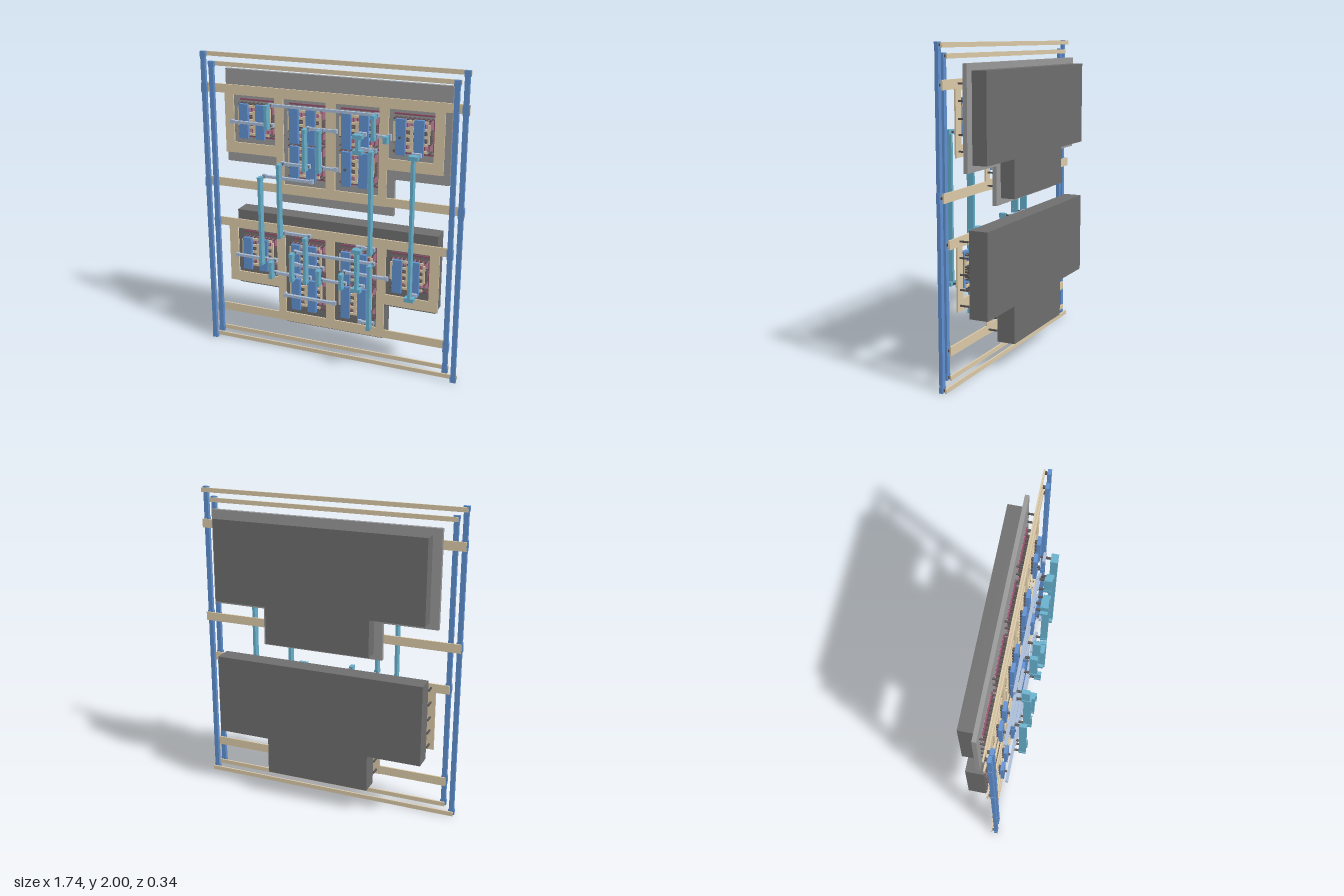
import * as THREE from 'three';
import { mergeGeometries } from 'three/addons/utils/BufferGeometryUtils.js';

const mat = (c) => new THREE.MeshStandardMaterial({ color: c });
const COLORS = {
  well: mat(0x6e6e6e), plate: mat(0x999999), diffusion: mat(0xc88aa4), poly: mat(0x93506a),
  contact: mat(0x5a5555), metal1: mat(0xdccaa8), metal2: mat(0x6090d0),
  metal3: mat(0xa9bcd8), metal4: mat(0x68b0cc),
};
// Depth range of each layer, back to front
const Z = {
  well: [-0.168, -0.05], plate: [-0.076, -0.05], diffusion: [-0.05, -0.045], poly: [-0.045, -0.037],
  contact: [-0.048, 0.009], metal1: [0.009, 0.019], via1: [0.019, 0.034], metal2: [0.034, 0.057],
  via2: [0.057, 0.073], metal3: [0.073, 0.092], via3: [0.092, 0.122], metal4: [0.122, 0.168],
};

// Box from centre and size in the layer plane
function slab(x, y, w, h, [z0, z1]) {
  return new THREE.BoxGeometry(w, h, z1 - z0).translate(x, y, (z0 + z1) / 2);
}

function layer(parent, name, material, boxes) {
  const mesh = new THREE.Mesh(mergeGeometries(boxes), material);
  mesh.name = name;
  parent.add(mesh);
}

// T-shaped outline: wide upper part, narrow lower part
function tShape(wide, narrow, top, step, bottom) {
  return new THREE.Shape([
    [-wide, top], [-wide, step], [-narrow, step], [-narrow, bottom],
    [narrow, bottom], [narrow, step], [wide, step], [wide, top],
  ].map(([x, y]) => new THREE.Vector2(x, y)));
}

function extrude(parent, name, material, shape, [z0, z1]) {
  const g = new THREE.ExtrudeGeometry(shape, { depth: z1 - z0, bevelEnabled: false });
  const mesh = new THREE.Mesh(g.translate(0, 0, z0), material);
  mesh.name = name;
  parent.add(mesh);
}

function rectHole(x0, x1, y0, y1) {
  return new THREE.Path([[x0, y0], [x1, y0], [x1, y1], [x0, y1]].map(([x, y]) => new THREE.Vector2(x, y)));
}

// One transistor cell: diffusion, gates, contacts, first and second metal
function addCell(parent, cx, cy) {
  const cell = new THREE.Group();
  cell.name = 'transistorCell';
  parent.add(cell);
  const diffusion = [], poly = [], contacts = [], m1 = [], m2 = [], vias = [];
  for (const dy of [-0.07, 0.0, 0.065]) diffusion.push(slab(cx, cy + dy, 0.24, 0.05, Z.diffusion));
  for (const s of [-1, 1]) {
    poly.push(slab(cx, cy + s * 0.12, 0.25, 0.01, Z.poly));
    m2.push(slab(cx + s * 0.057, cy, 0.059, 0.222, Z.metal2));
    m1.push(slab(cx + s * 0.107, cy + 0.02, 0.014, 0.12, Z.metal1));
    for (const dy of [-0.09, -0.045, 0, 0.045, 0.09]) vias.push(slab(cx + s * 0.057, cy + dy, 0.018, 0.014, Z.via1));
  }
  m1.push(slab(cx, cy - 0.01, 0.018, 0.14, Z.metal1));
  for (const dy of [-0.09, -0.045, 0, 0.045, 0.09]) m1.push(slab(cx, cy + dy, 0.2, 0.016, Z.metal1));
  for (let i = 0; i < 9; i++) {
    const x = cx - 0.112 + i * 0.028;
    poly.push(slab(x + 0.012, cy, 0.005, 0.2, Z.poly));
    for (const dy of [-0.1, -0.045, -0.03, -0.015, 0, 0.015, 0.03, 0.1])
      contacts.push(slab(x, cy + dy, 0.009, 0.008, Z.contact));
  }
  layer(cell, 'diffusion', COLORS.diffusion, diffusion);
  layer(cell, 'gateStrips', COLORS.poly, poly);
  layer(cell, 'contactPosts', COLORS.contact, contacts);
  layer(cell, 'cellStraps', COLORS.metal1, m1);
  layer(cell, 'cellBars', COLORS.metal2, m2);
  layer(cell, 'cellVias', COLORS.contact, vias);
}

// A block: well, T-shaped mesh plate with four windows, supply rails, six cells
function addBlock(parent, name, dy, railHalf) {
  const block = new THREE.Group();
  block.name = name;
  parent.add(block);
  const top = 1.793 + dy, step = 1.35 + dy, bottom = 1.11 + dy;
  const mesh = tShape(0.725, 0.37, top, step, bottom);
  for (const s of [-1, 1]) {
    const h = (a, b, y0) => rectHole(Math.min(s * a, s * b), Math.max(s * a, s * b), y0 + dy, 1.73 + dy);
    mesh.holes.push(h(0.377, 0.663, 1.42), h(0.031, 0.318, 1.175));
  }
  extrude(block, 'powerMesh', COLORS.metal1, mesh, Z.metal1);
  const rails = [], posts = [];
  for (const s of [-1, 1]) {
    for (const [y, x0] of [[1.765, 0.725], [1.14, 0.37]])
      rails.push(slab(s * (x0 + railHalf) / 2, y + dy, railHalf - x0, 0.056, Z.metal1));
  }
  // Posts tying the mesh to the well
  for (const x of [-0.695, -0.347, 0, 0.347, 0.695]) {
    for (const y of [1.767, 1.67, 1.57, 1.48, 1.385]) posts.push(slab(x, y + dy, 0.01, 0.01, Z.contact));
    if (Math.abs(x) < 0.5) for (const y of [1.3, 1.22, 1.14]) posts.push(slab(x, y + dy, 0.01, 0.01, Z.contact));
  }
  layer(block, 'supplyRails', COLORS.metal1, rails);
  layer(block, 'wellPosts', COLORS.contact, posts);
  for (const x of [-0.52, -0.174, 0.174, 0.52]) addCell(block, x, 1.572 + dy);
  for (const x of [-0.174, 0.174]) addCell(block, x, 1.333 + dy);
  return block;
}

export function createModel() {
  const model = new THREE.Group();
  model.name = 'layeredCircuit';

  const upper = addBlock(model, 'upperBlock', 0, 0.868);
  extrude(upper, 'wellPlate', COLORS.plate, tShape(0.75, 0.4, 1.88, 1.27, 1.03), Z.plate);
  extrude(upper, 'wellBody', COLORS.well, tShape(0.693, 0.345, 1.84, 1.31, 1.07), [Z.well[0], -0.076]);
  const lower = addBlock(model, 'lowerBlock', -0.9, 0.81);
  extrude(lower, 'wellBody', COLORS.well, tShape(0.693, 0.345, 0.935, 0.41, 0.17), Z.well);

  // Outer and inner supply rings: horizontal bars behind, pillars in front
  const bars = [], pillars = [], ringVias = [];
  const rings = [
    { x: 0.852, y0: 0.02, y1: 1.98, ties: [1.765, 1.14] },
    { x: 0.796, y0: 0.08, y1: 1.92, ties: [0.865, 0.24] },
  ];
  for (const { x, y0, y1, ties } of rings) {
    for (const y of [y0, y1]) bars.push(slab(0, y, 2 * x + 0.032, 0.028, Z.metal1));
    for (const s of [-1, 1]) {
      pillars.push(slab(s * x, 1, 0.03, y1 - y0 + 0.03, Z.metal2));
      for (const y of [y0, y1, ...ties]) {
        const h = ties.includes(y) ? 0.062 : 0.036;
        pillars.push(slab(s * x, y, 0.038, h, Z.metal2));
        ringVias.push(slab(s * x, y, 0.016, 0.014, Z.via1));
      }
    }
  }
  layer(model, 'ringBars', COLORS.metal1, bars);
  layer(model, 'ringPillars', COLORS.metal2, pillars);
  layer(model, 'ringVias', COLORS.contact, ringVias);

  // Horizontal wires: [y, x0, x1]
  const across = [
    [1.7, -0.37, 0.325], [1.572, -0.64, -0.365], [1.575, -0.118, 0.06], [1.572, 0.325, 0.405],
    [1.333, -0.293, -0.118], [1.333, -0.025, 0.065], [1.235, -0.425, -0.1], [1.48, 0.23, 0.315],
    [0.868, -0.293, -0.118], [0.842, 0.23, 0.315], [0.746, -0.215, 0.315], [0.667, -0.635, -0.36],
    [0.66, -0.215, -0.03], [0.66, 0.125, 0.405], [0.58, -0.36, -0.118], [0.58, -0.03, 0.125],
    [0.43, -0.29, 0.055], [0.332, 0.23, 0.315],
  ];
  // Vertical wires: [x, y0, y1]
  const upright = [
    [0.577, 0.575, 1.48], [0.315, 0.842, 1.48], [0.325, 1.572, 1.7], [0.315, 0.332, 0.746],
    [-0.293, 0.868, 1.333], [-0.425, 0.667, 1.235], [-0.37, 1.572, 1.7], [-0.118, 1.333, 1.575],
    [-0.118, 0.58, 0.868], [-0.025, 1.333, 1.575], [0.23, 1.48, 1.575], [0.23, 0.58, 0.842],
    [-0.36, 0.58, 0.667], [-0.215, 0.58, 0.746], [-0.03, 0.58, 0.66], [0.125, 0.58, 0.66],
    [0.405, 1.565, 1.58], 
  ];
  const m3 = [], m4 = [], vias = [];
  for (const [y, x0, x1] of across) {
    m3.push(slab((x0 + x1) / 2, y, x1 - x0, 0.017, Z.metal3));
    for (const x of [x0, x1]) m3.push(slab(x, y, 0.024, 0.026, Z.metal3));
  }
  for (const [x, y0, y1] of upright) {
    m4.push(slab(x, (y0 + y1) / 2, 0.018, y1 - y0, Z.metal4));
    const padW = x === 0.577 || x === 0.23 ? 0.06 : 0.025;
    for (const y of [y0, y1]) {
      m4.push(slab(x, y, padW, 0.026, Z.metal4));
      m3.push(slab(x, y, padW, 0.024, Z.metal3));
      vias.push(slab(x, y, 0.012, 0.012, Z.via3));
    }
  }
  // Vias from horizontal wires down to the cell bars
  for (const [x, y] of [[-0.577, 1.572], [-0.463, 1.572], [-0.231, 1.333], [-0.117, 1.333], [-0.117, 1.575],
    [0.06, 1.575], [0.117, 1.333], [0.231, 1.48], [0.463, 1.572], [0.577, 1.48], [-0.117, 1.235],
    [-0.577, 0.667], [-0.463, 0.667], [-0.117, 0.58], [0.117, 0.66], [0.231, 0.58], [0.577, 0.575],
    [-0.231, 0.43], [0.055, 0.43], [0.231, 0.332]]) vias.push(slab(x, y, 0.012, 0.012, Z.via2));
  layer(model, 'horizontalWires', COLORS.metal3, m3);
  layer(model, 'verticalWires', COLORS.metal4, m4);
  layer(model, 'wireVias', COLORS.contact, vias);
  return model;
}
